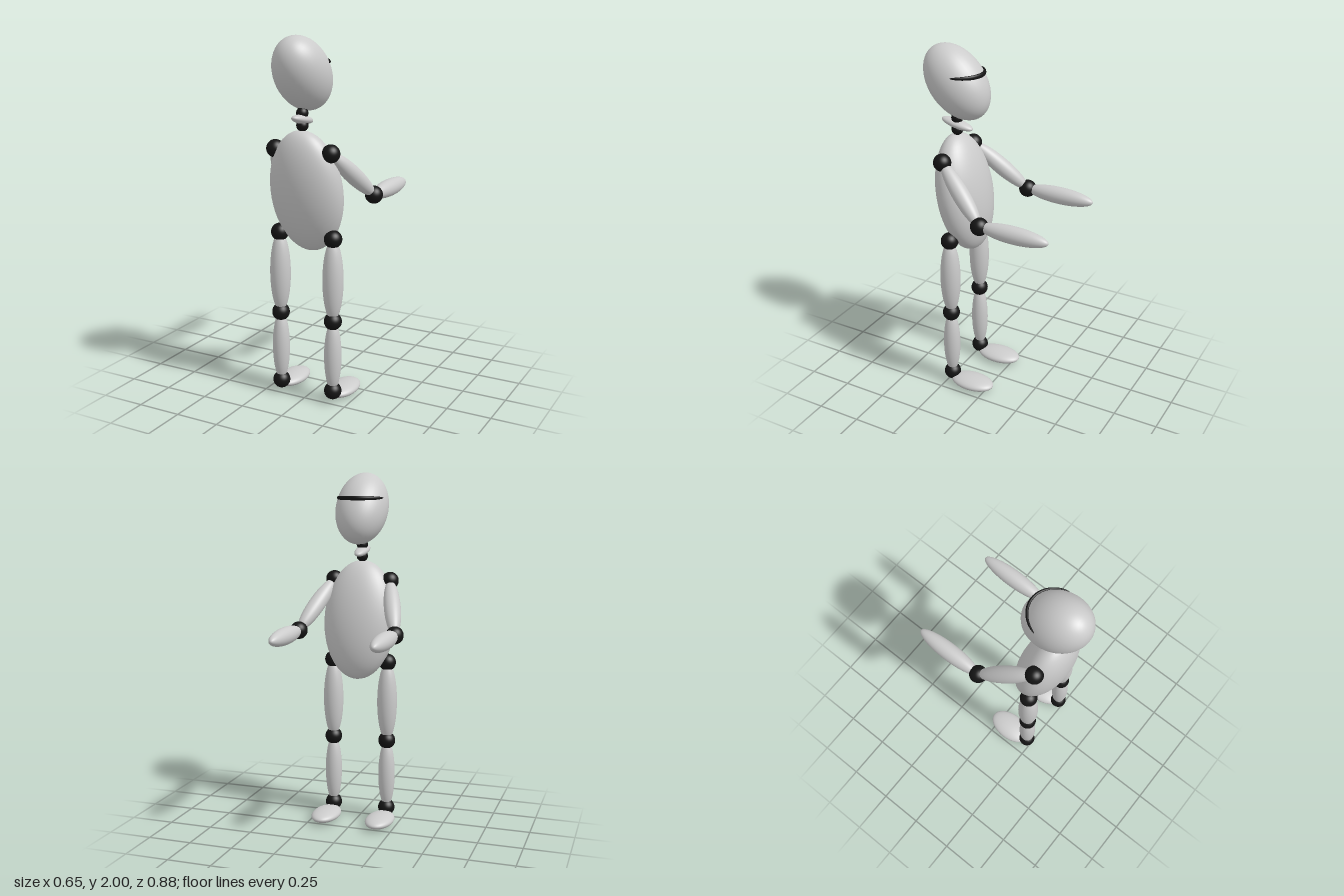
import * as THREE from 'three';

const grey = new THREE.MeshStandardMaterial({ color: 0xcccccc });
const black = new THREE.MeshStandardMaterial({ color: 0x141414 });
const V = (x, y, z) => new THREE.Vector3(x, y, z);

export function createModel() {
  const model = new THREE.Group();

  // Ellipsoid with semi-axes r at centre c, pitched about x
  function ellipsoid(name, c, r, tilt = 0, material = grey, parent = model) {
    const mesh = new THREE.Mesh(new THREE.SphereGeometry(1, 40, 28), material);
    mesh.name = name;
    mesh.position.copy(c);
    mesh.scale.copy(r);
    mesh.rotation.x = tilt;
    parent.add(mesh);
    return mesh;
  }
  const joint = (name, c, r, parent) => ellipsoid(name, c, V(r, r, r), 0, black, parent);

  // Spindle-shaped limb from a to b
  function limb(name, a, b, r, parent) {
    const mid = a.clone().add(b).multiplyScalar(0.5);
    const mesh = ellipsoid(name, mid, V(r, a.distanceTo(b) / 2, r), 0, grey, parent);
    mesh.quaternion.setFromUnitVectors(V(0, 1, 0), b.clone().sub(a).normalize());
  }

  // Head, neck and body; the figure looks towards -z
  ellipsoid('head', V(0, 1.803, 0.25), V(0.147, 0.225, 0.155), 0.712);
  joint('upperNeckJoint', V(0, 1.6, 0.254), 0.032);
  ellipsoid('neckDisc', V(0, 1.566, 0.254), V(0.037, 0.024, 0.097), -0.2);
  joint('lowerNeckJoint', V(0, 1.535, 0.254), 0.032);
  ellipsoid('torso', V(0, 1.175, 0.212), V(0.21, 0.34, 0.132), 0.175);

  // Eye band: a spindle bent around the face
  const band = new THREE.SphereGeometry(1, 24, 48).rotateZ(Math.PI / 2);
  const p = band.attributes.position;
  for (let i = 0; i < p.count; i++) {
    const angle = p.getX(i) * 1.24;
    const out = p.getZ(i) * -0.009;
    p.setXYZ(i,
      Math.sin(angle) * (0.142 + out),
      1.862 + p.getY(i) * 0.013,
      0.269 - Math.cos(angle) * (0.169 + out));
  }
  band.computeVertexNormals();
  const eyeBand = new THREE.Mesh(band, black);
  eyeBand.name = 'eyeBand';
  model.add(eyeBand);

  // Arms and legs, mirrored
  for (const [side, s] of [['left', 1], ['right', -1]]) {
    const arm = new THREE.Group();
    arm.name = side + 'Arm';
    const shoulder = V(s * 0.166, 1.4, 0.252);
    const elbow = V(s * 0.277, 1.137, -0.037);
    joint('shoulder', shoulder, 0.049, arm);
    limb('upperArm', shoulder, elbow, 0.047, arm);
    joint('elbow', elbow, 0.049, arm);
    limb('forearm', elbow, V(s * 0.277, 1.135, -0.44), 0.048, arm);

    const leg = new THREE.Group();
    leg.name = side + 'Leg';
    const [hip, knee, ankle] = [0.935, 0.474, 0.068].map(y => V(s * 0.163, y, 0.22));
    joint('hip', hip, 0.049, leg);
    limb('thigh', hip, knee, 0.057, leg);
    joint('knee', knee, 0.049, leg);
    limb('shin', knee, ankle, 0.048, leg);
    joint('ankle', ankle, 0.048, leg);
    ellipsoid('foot', V(s * 0.163, 0.035, 0.086), V(0.08, 0.035, 0.133), 0, grey, leg);
    model.add(arm, leg);
  }
  return model;
}
